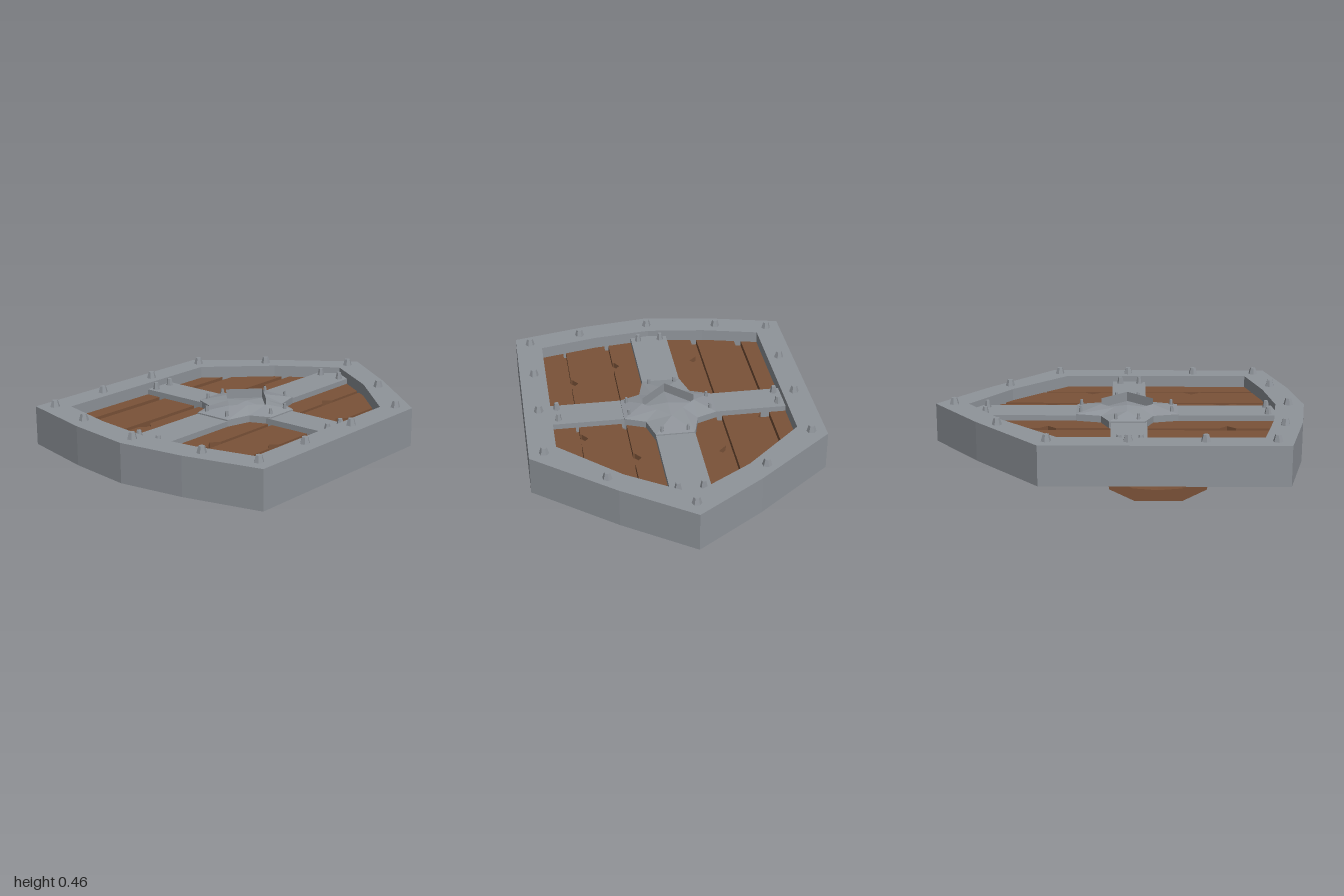
import * as THREE from 'three';

const metal = new THREE.MeshStandardMaterial({ color: 0x8f949a, flatShading: true });
const wood = new THREE.MeshStandardMaterial({ color: 0x7a5238, flatShading: true });

// Right half of the rim, as [x, z] from the point at the back to the front
const OUTER = [[0, -1], [0.36, -0.745], [0.78, -0.4], [0.78, 0.85], [0.36, 0.95], [0, 1]];
const INNER = [[0, -0.82], [0.32, -0.61], [0.635, -0.31], [0.635, 0.73], [0.32, 0.805], [0, 0.845]];
const CENTRE_Z = 0.04;

const toVectors = (pts) => pts.map(([x, y]) => new THREE.Vector2(x, y));
const mirrored = (half) =>
  toVectors([...half, ...half.slice(1, -1).reverse().map(([x, z]) => [-x, z])]);

// Slab with an [x, z] outline between two heights
function slab(shape, bottom, top) {
  const geo = new THREE.ExtrudeGeometry(shape, { depth: top - bottom, bevelEnabled: false });
  return geo.rotateX(Math.PI / 2).translate(0, top, 0);
}

// Surface through closed rings of [x, y, z], facing outward when the rings run upward
function loft(rings) {
  const pos = [];
  for (let r = 0; r < rings.length - 1; r++) {
    const a = rings[r], b = rings[r + 1];
    a.forEach((p, i) => {
      const j = (i + 1) % a.length;
      pos.push(...p, ...b[i], ...a[j], ...b[i], ...b[j], ...a[j]);
    });
  }
  const geo = new THREE.BufferGeometry();
  geo.setAttribute('position', new THREE.Float32BufferAttribute(pos, 3));
  geo.computeVertexNormals();
  return geo;
}

// Height along z of the inner rim at a given x, at the back or the front
function rimZ(x, front) {
  const pts = front ? INNER.slice(3).reverse() : INNER.slice(0, 3);
  const ax = Math.min(Math.abs(x), 0.635);
  const k = ax > 0.32 ? 1 : 0;
  const [p, q] = [pts[k], pts[k + 1]];
  return p[1] + (q[1] - p[1]) * (ax - p[0]) / (q[0] - p[0]);
}

// Plank from x0 to x1, with chips [z, depth] cut in its right or left edge
function plank(x0, x1, rightChips = [], leftChips = []) {
  const under = 0.04, mid = (x0 + x1) / 2;
  const pts = [x0, mid, x1].map((x) => [x, rimZ(x, false) - under]);
  for (const [z, d] of rightChips) pts.push([x1, z - 0.045], [x1 - d, z], [x1 - 0.01, z + 0.04], [x1, z + 0.045]);
  for (const x of [x1, mid, x0]) pts.push([x, rimZ(x, true) + under]);
  for (const [z, d] of [...leftChips].reverse()) pts.push([x0, z + 0.045], [x0 + d, z], [x0, z - 0.045]);
  return slab(new THREE.Shape(toVectors(pts)), 0.32, 0.36);
}

export function createModel() {
  const model = new THREE.Group();
  const add = (name, geo, mat) => {
    const mesh = new THREE.Mesh(geo, mat);
    mesh.name = name;
    model.add(mesh);
    return mesh;
  };

  // Backing plate and raised rim
  add('backPlate', slab(new THREE.Shape(mirrored(OUTER)), 0.215, 0.32), metal);
  const rim = new THREE.Shape(mirrored(OUTER));
  rim.holes.push(new THREE.Path(mirrored(INNER)));
  add('rim', slab(rim, 0.32, 0.425), metal);

  // Wooden floor seen through the gaps, and the chipped planks over it
  add('woodFloor', slab(new THREE.Shape(mirrored(INNER)), 0.31, 0.33), wood);
  [
    plank(-0.66, -0.545),
    plank(-0.505, -0.285, [], [[-0.08, 0.03]]),
    plank(-0.25, 0.24, [[-0.38, 0.04], [0.57, 0.035]], [[-0.38, 0.045], [0.57, 0.045]]),
    plank(0.265, 0.495, [[-0.16, 0.04], [0.41, 0.04]]),
    plank(0.512, 0.66),
  ].forEach((geo) => add('plank', geo, wood));

  // Crossed metal bands
  add('longBand', new THREE.BoxGeometry(0.21, 0.07, 1.68).translate(0, 0.355, 0.02), metal);
  add('crossBand', new THREE.BoxGeometry(1.34, 0.07, 0.19).translate(0, 0.355, 0.05), metal);

  // Star-shaped boss rising to a diamond opening
  const R = 0.14;
  const star = [], diamond = [];
  for (const [sx, sz] of [[1, 1], [-1, 1], [-1, -1], [1, -1]]) {
    const outer = [[0.25, 0.095], [0.14, 0.14], [0.105, 0.275]];
    const inner = [[R, 0], [R / 2, R / 2], [0, R]];
    if (sx * sz < 0) { outer.reverse(); inner.reverse(); }
    star.push(...outer.map(([x, z]) => [x * sx, z * sz + CENTRE_Z]));
    diamond.push(...inner.map(([x, z]) => [x * sx, z * sz + CENTRE_Z]));
  }
  const ring = (pts, y) => pts.map(([x, z]) => [x, y, z]);
  add('boss', loft([ring(star, 0.33), ring(star, 0.397), ring(diamond, 0.425)]), metal);

  // Diamond socket: inward-facing walls and a slightly domed floor
  const corners = [[R, 0], [0, R], [-R, 0], [0, -R]].map(([x, z]) => [x, z + CENTRE_Z]);
  const middle = corners.map(() => [0, CENTRE_Z]);
  add('socketWall', loft([ring(corners, 0.457), ring(corners, 0.405)]), metal);
  add('socketFloor', loft([ring(corners, 0.405), ring(middle, 0.42)]), metal);

  // Rivets, mirrored left and right: [x, z]
  const rivets = (name, spots, y, radius, height) => {
    const geo = new THREE.CylinderGeometry(radius * 0.6, radius, height, 6);
    for (const [x, z] of spots) {
      for (const side of x ? [1, -1] : [1]) {
        const rivet = add(name, geo, metal);
        rivet.position.set(x * side, y + height / 2, z);
        rivet.rotation.y = x * 5 + z * 3;
      }
    }
  };
  rivets('rimRivet', [[0, -0.9], [0.405, -0.63], [0.7, -0.36], [0.7, 0.045], [0.7, 0.43],
    [0.7, 0.785], [0.405, 0.855], [0, 0.915]], 0.423, 0.027, 0.037);
  rivets('bandRivet', [[0.065, -0.725], [0.065, 0.8], [0.6, 0], [0.6, 0.11]], 0.388, 0.02, 0.04);
  rivets('bossRivet', [[0.22, -0.02], [0.22, 0.1], [0.07, -0.21], [0.07, 0.28]], 0.395, 0.012, 0.038);

  // Two strap handles underneath, profile as [z, y]
  const profile = [[-0.06, 0.22], [-0.055, 0.065], [0.08, 0], [0.33, 0], [0.46, 0.065], [0.465, 0.22],
    [0.405, 0.22], [0.38, 0.09], [0.33, 0.07], [0.2, 0.06], [0.07, 0.07], [0.03, 0.09], [0, 0.22]];
  for (const x of [0.38, -0.245]) {
    const geo = new THREE.ExtrudeGeometry(new THREE.Shape(toVectors(profile)), { depth: 0.135, bevelEnabled: false });
    add('handle', geo.rotateY(-Math.PI / 2).translate(x, 0, 0), wood);
  }
  return model;
}
